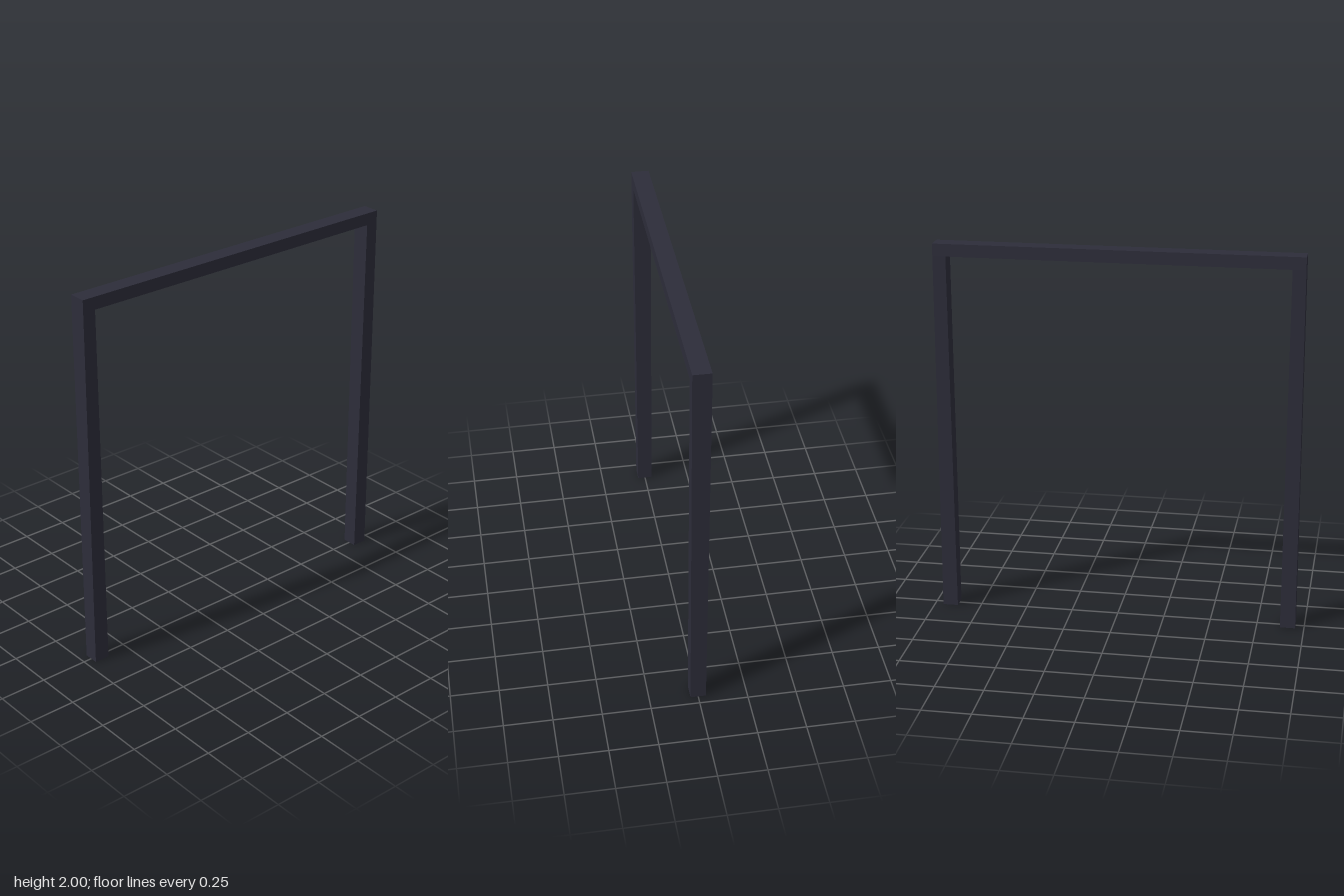
import * as THREE from 'three';

const HEIGHT = 2, BEAM = 0.065, OUTER = 0.948, DEPTH = 0.092;

export function createModel() {
  const group = new THREE.Group();
  const darkFrame = new THREE.MeshStandardMaterial({ color: 0x2d2d3a });
  darkFrame.name = 'darkFrame';

  function add(name, geometry, x, y) {
    const mesh = new THREE.Mesh(geometry, darkFrame);
    mesh.name = name;
    mesh.position.set(x, y, 0);
    group.add(mesh);
  }

  // Straight beam across the top
  add('topBeam', new THREE.BoxGeometry(OUTER * 2, BEAM, DEPTH), 0, HEIGHT - BEAM / 2);

  // Post that grows slightly wider and shallower toward the floor
  const legHeight = HEIGHT - BEAM;
  const leg = new THREE.BoxGeometry(0.068, legHeight, DEPTH);
  const p = leg.attributes.position;
  for (let i = 0; i < p.count; i++) {
    if (p.getY(i) < 0) p.setXYZ(i, p.getX(i) * 1.18, p.getY(i), p.getZ(i) * 0.87);
  }
  leg.computeVertexNormals();

  // Mirrored pair of posts
  for (const side of [-1, 1]) {
    add(side > 0 ? 'leftPost' : 'rightPost', leg, side * (OUTER - 0.034), legHeight / 2);
  }
  return group;
}
